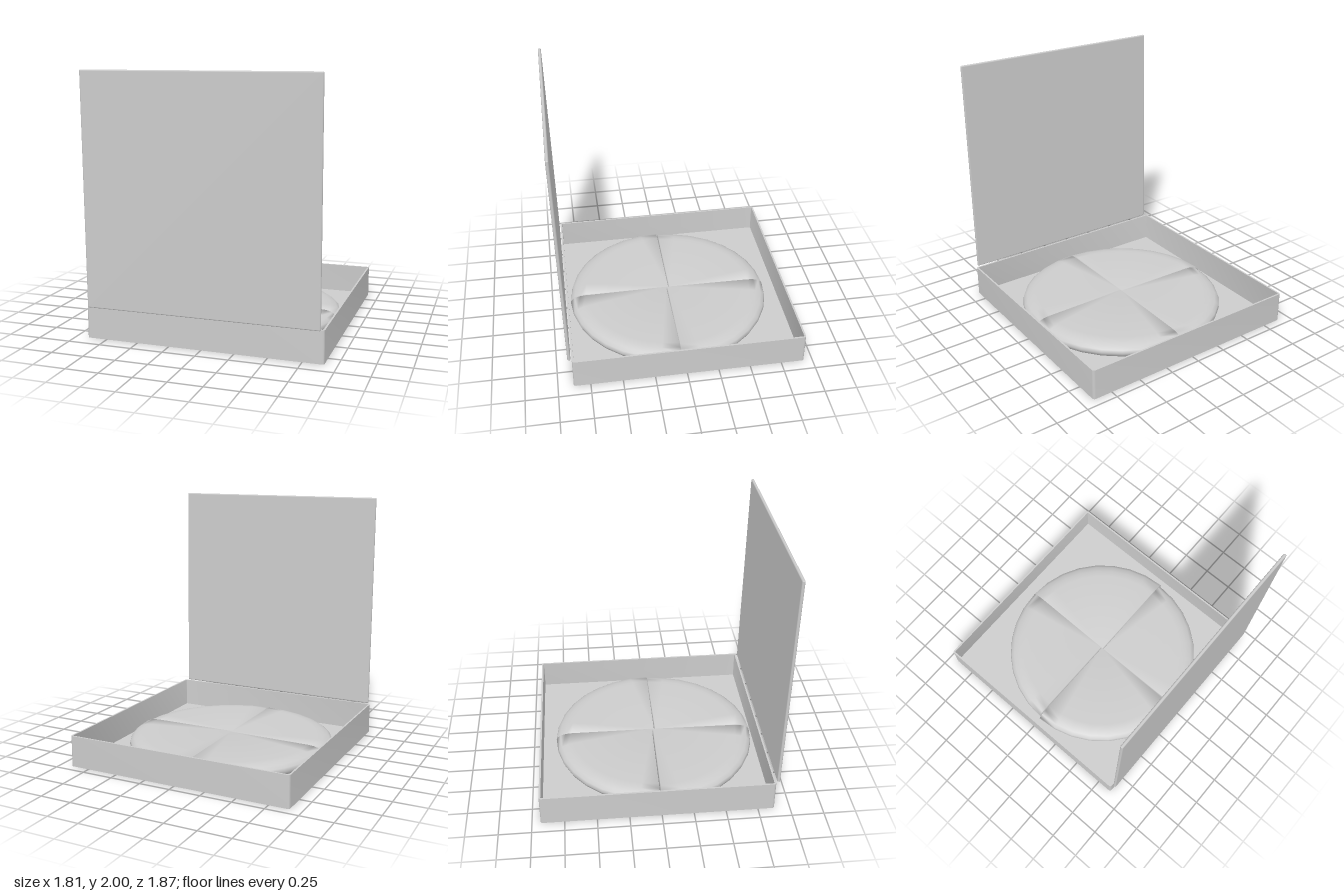
import * as THREE from 'three';
import { mergeGeometries, mergeVertices, toCreasedNormals } from 'three/addons/utils/BufferGeometryUtils.js';
import { RoundedBoxGeometry } from 'three/addons/geometries/RoundedBoxGeometry.js';

// Rectangle outline with small rounded corners
function roundedRect(Type, hw, hd, r) {
  const s = new Type();
  s.absarc(hw - r, hd - r, r, 0, Math.PI / 2);
  s.absarc(-hw + r, hd - r, r, Math.PI / 2, Math.PI);
  s.absarc(-hw + r, -hd + r, r, Math.PI, Math.PI * 1.5);
  s.absarc(hw - r, -hd + r, r, Math.PI * 1.5, Math.PI * 2);
  s.closePath();
  return s;
}

// Upright slab made from a flat outline
function extrudeUp(shape, height) {
  const geo = new THREE.ExtrudeGeometry(shape, { depth: height, bevelEnabled: false, curveSegments: 3 });
  geo.rotateX(-Math.PI / 2);
  return toCreasedNormals(geo, 0.7);
}

// Quarter disc with a rounded crust and two closed cut faces, smoothly shaded
function sliceGeometry(radius, start) {
  const profile = [
    [0, 0.012], [radius - 0.05, 0.012], [radius - 0.012, 0.03], [radius, 0.06], [radius - 0.008, 0.085],
    [radius - 0.035, 0.106], [radius - 0.08, 0.12], [radius - 0.13, 0.125], [0, 0.128],
  ].map(([r, y]) => new THREE.Vector2(r, y));
  const parts = [new THREE.LatheGeometry(profile, 8, start, Math.PI / 2)];
  for (const side of [0, 1]) {
    const cut = new THREE.ShapeGeometry(new THREE.Shape(profile));
    cut.rotateY(start + (side - 1) * Math.PI / 2);
    if (side) cut.index.array.reverse();
    parts.push(cut);
  }
  for (const part of parts) {
    part.deleteAttribute('normal');
    part.deleteAttribute('uv');
  }
  const geo = mergeVertices(mergeGeometries(parts), 1e-4);
  geo.computeVertexNormals();
  return geo;
}

export function createModel() {
  const model = new THREE.Group();
  model.name = 'openBox';
  const grey = new THREE.MeshStandardMaterial({ color: 0xcccccc });
  grey.name = 'light grey';

  const add = (name, geo, x = 0, y = 0, z = 0) => {
    const mesh = new THREE.Mesh(geo, grey);
    mesh.name = name;
    mesh.position.set(x, y, z);
    model.add(mesh);
    return mesh;
  };

  // Tray: four thin walls around a floor
  const walls = roundedRect(THREE.Shape, 0.907, 0.907, 0.018);
  walls.holes.push(roundedRect(THREE.Path, 0.893, 0.893, 0.006));
  add('trayWalls', extrudeUp(walls, 0.245), 0, 0, -0.027);
  add('trayFloor', extrudeUp(roundedRect(THREE.Shape, 0.9, 0.9, 0.012), 0.012), 0, 0, -0.027);

  // Lid: thin bevelled panel standing at the front edge, leaning outward
  const lid = add('lid', new RoundedBoxGeometry(1.77, 1.755, 0.024, 1, 0.01), 0, 1.122, 0.912);
  lid.rotation.x = 0.0143;

  // Four slices, slightly shifted apart: start quarter, radius, x, z, turn
  const slices = [
    [0, 0.815, 0.002, 0.032, 0.004],
    [1, 0.83, 0.002, 0.02, -0.006],
    [2, 0.812, -0.002, 0.003, -0.01],
    [3, 0.83, -0.002, 0.014, -0.01],
  ];
  for (const [quarter, radius, x, z, turn] of slices) {
    add('slice' + (quarter + 1), sliceGeometry(radius, quarter * Math.PI / 2 + turn), x, 0, z);
  }
  return model;
}
